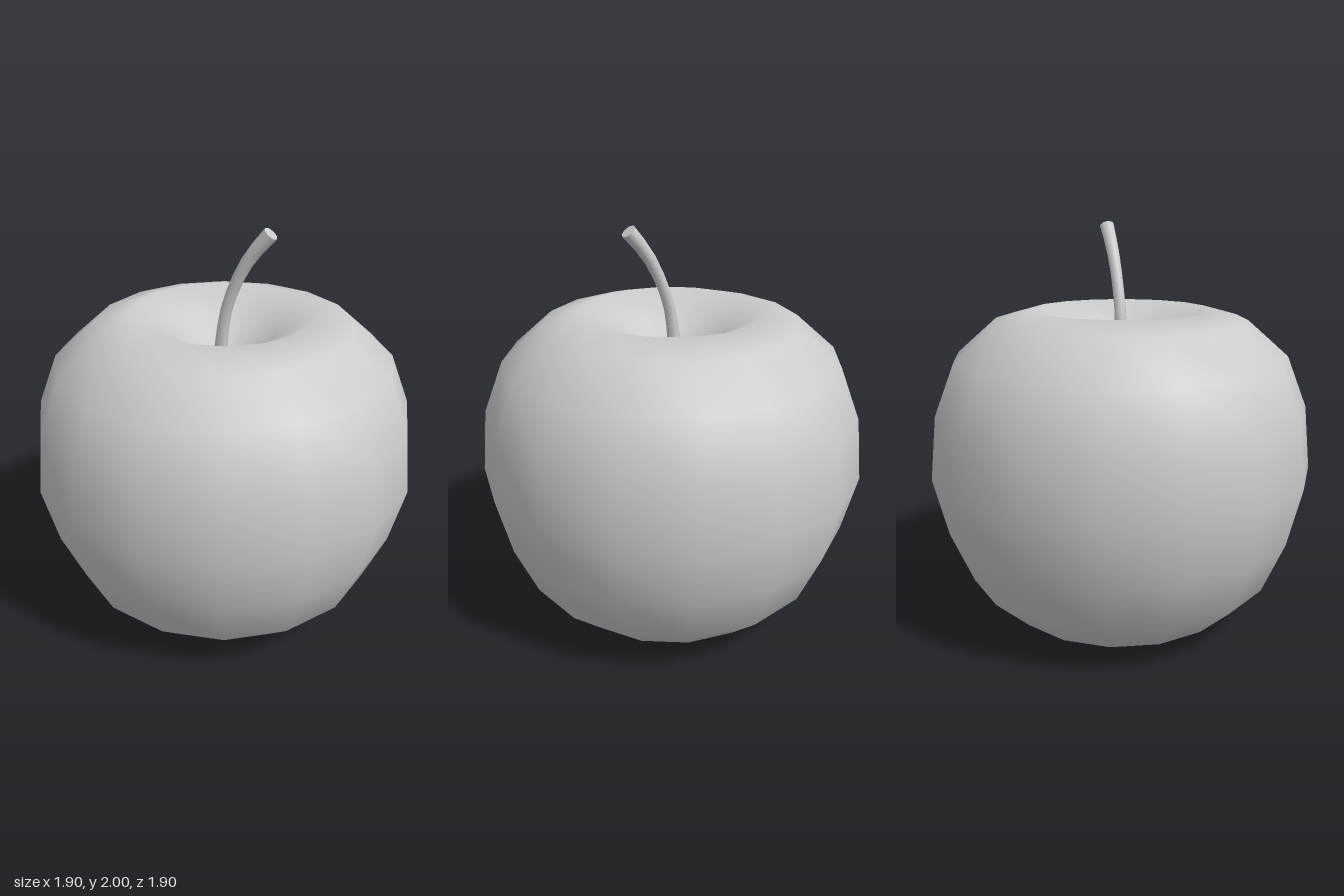
import * as THREE from 'three';

const material = () => new THREE.MeshStandardMaterial({ color: 0xcccccc });

// Body: 16-sided smooth lathe with a dimple at both poles
function createBody() {
  const profile = [
    [0, 0.18], [0.09, 0.16], [0.22, 0.09], [0.39, 0], [0.59, 0.08], [0.77, 0.25],
    [0.88, 0.51], [0.95, 0.8], [0.918, 1.11], [0.82, 1.36], [0.62, 1.535],
    [0.44, 1.585], [0.25, 1.485], [0.1, 1.37], [0, 1.34],
  ].map(([r, y]) => new THREE.Vector2(r, y));
  const body = new THREE.Mesh(new THREE.LatheGeometry(profile, 16), material());
  body.name = 'fruitBody';
  return body;
}

// Stem: bent eight-sided tube, flared at both ends, closed by a flat cap
function createStem() {
  const stem = new THREE.Group();
  stem.name = 'stem';
  const path = new THREE.CatmullRomCurve3([
    [-0.02, 1.32], [-0.01, 1.45], [0.01, 1.585], [0.06, 1.73], [0.13, 1.86], [0.225, 1.975],
  ].map(([x, y]) => new THREE.Vector3(x, y, 0)));
  const segments = 8, sides = 8, tipRadius = 0.037;
  const radiusAt = (t) => 0.027 + 0.012 * (1 - t) ** 4 + (tipRadius - 0.027) * t ** 3;

  const tube = new THREE.TubeGeometry(path, segments, 1, sides);
  const pos = tube.attributes.position;
  const v = new THREE.Vector3();
  for (let i = 0; i < pos.count; i++) {
    const t = Math.floor(i / (sides + 1)) / segments;
    const centre = path.getPointAt(t);
    v.fromBufferAttribute(pos, i).sub(centre).multiplyScalar(radiusAt(t)).add(centre);
    pos.setXYZ(i, v.x, v.y, v.z);
  }
  const shaft = new THREE.Mesh(tube, material());
  shaft.name = 'stemShaft';

  const cap = new THREE.Mesh(new THREE.CircleGeometry(tipRadius, sides), material());
  cap.name = 'stemTip';
  cap.position.copy(path.getPointAt(1));
  cap.lookAt(path.getPointAt(1).add(path.getTangentAt(1)));
  stem.add(shaft, cap);
  return stem;
}

export function createModel() {
  const model = new THREE.Group();
  model.name = 'apple';
  model.add(createBody(), createStem());
  return model;
}
